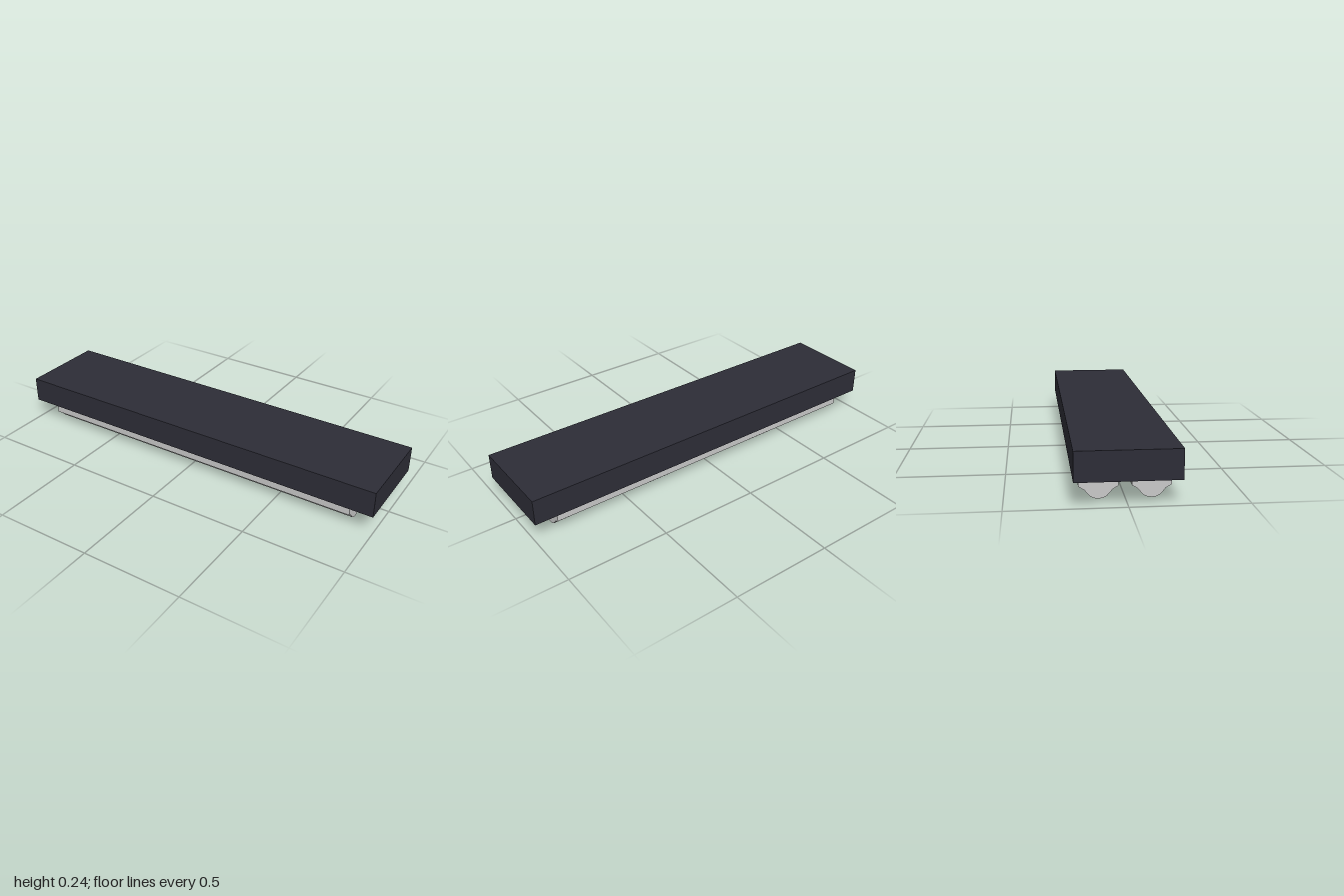
import * as THREE from 'three';

export function createModel() {
  const model = new THREE.Group();
  model.name = 'ceilingLight';

  const darkHousing = new THREE.MeshStandardMaterial({ name: 'dark housing', color: 0x2d2d37 });
  const paleDiffuser = new THREE.MeshStandardMaterial({ name: 'pale diffuser', color: 0xc9c9c9 });

  // Flat mounting housing
  const bottom = 0.107, top = 0.236;
  const housing = new THREE.Mesh(new THREE.BoxGeometry(2, top - bottom, 0.442), darkHousing);
  housing.name = 'housing';
  housing.position.y = (top + bottom) / 2;
  model.add(housing);

  // Diffuser cross-section: straight sides, sloped shoulders, rounded belly
  const half = [
    [0.083, bottom], [0.083, 0.053], [0.058, 0.038], [0.048, 0.025],
    [0.034, 0.01], [0.018, 0.002],
  ];
  const mirrored = half.map(([x, y]) => [-x, y]).reverse();
  const outline = [...half, [0, 0], ...mirrored].map(([x, y]) => new THREE.Vector2(x, y));
  const length = 1.76;
  const diffuserGeometry = new THREE.ExtrudeGeometry(new THREE.Shape(outline), {
    depth: length, bevelEnabled: false,
  });
  diffuserGeometry.translate(0, 0, -length / 2).rotateY(Math.PI / 2);

  // Two parallel diffusers under the housing
  for (const side of [1, -1]) {
    const diffuser = new THREE.Mesh(diffuserGeometry, paleDiffuser);
    diffuser.name = side > 0 ? 'frontDiffuser' : 'backDiffuser';
    diffuser.position.z = side * 0.111;
    model.add(diffuser);
  }

  return model;
}
